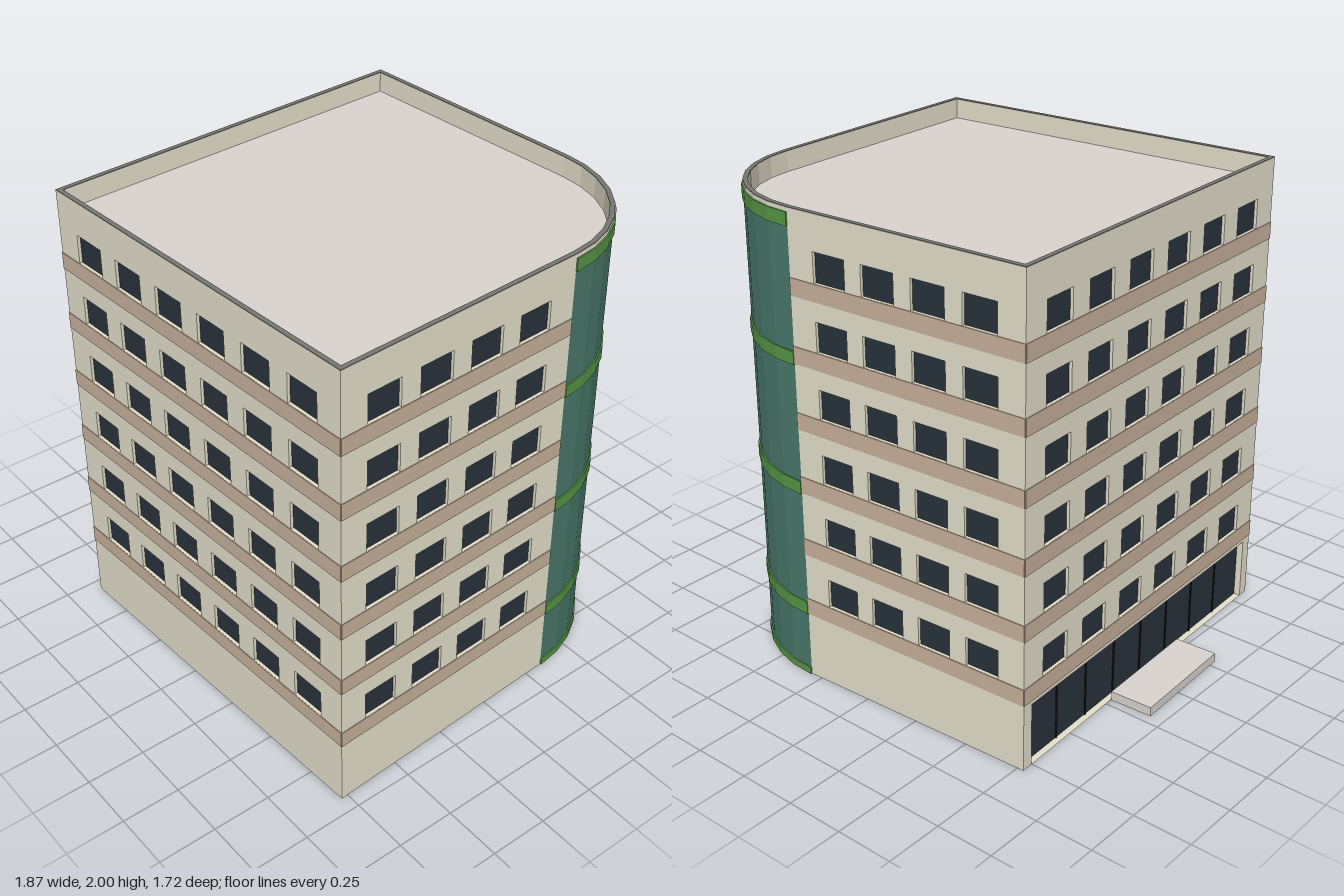
import * as THREE from 'three';

const mat = (name, color, side = THREE.FrontSide) => {
  const m = new THREE.MeshStandardMaterial({ color, side });
  m.name = name;
  return m;
};

export function createModel() {
  const M = {
    wall: mat('beige wall', 0xe4e0cc, THREE.DoubleSide),
    band: mat('tan band', 0xc8b19c),
    glass: mat('dark glass', 0x29323b, THREE.DoubleSide),
    mullion: mat('black mullion', 0x15191f),
    teal: mat('teal glazing', 0x4a7a6c),
    green: mat('green band', 0x589847),
    roof: mat('roof grey', 0xdad4d1),
    cap: mat('parapet cap grey', 0x787673),
  };
  const HU = 0.816, HV = 0.832; // half width and half depth of the plan
  const R = 0.547, T = 0.02;    // corner radius and parapet thickness
  const SKIN = 0.006;           // thickness of the curved glazing
  const H = 2, CAP = 0.004, ROOF = 1.912;
  const FLOORS = 6, PITCH = 0.2738, SILL = 0.36, BAND_Y = 0.288;
  const WIN_W = 0.153, WIN_H = 0.123;

  const building = new THREE.Group();
  building.name = 'building';

  const add = (parent, name, geometry, material, x = 0, y = 0, z = 0) => {
    const mesh = new THREE.Mesh(geometry, material);
    mesh.name = name;
    mesh.position.set(x, y, z);
    parent.add(mesh);
    return mesh;
  };
  const rect = (x, y, w, h) => [[x, y], [x + w, y], [x + w, y + h], [x, y + h]].map((p) => new THREE.Vector2(...p));

  // Plan helpers: shape y is -z, so the rounded corner lies at +x, +y
  const arc = (r, n = 8) => Array.from({ length: n + 1 }, (_, i) => {
    const a = (i / n) * Math.PI / 2;
    return new THREE.Vector2(HU - R + r * Math.cos(a), HV - R + r * Math.sin(a));
  });
  const plan = (inset) => [
    new THREE.Vector2(-HU + inset, HV - inset),
    new THREE.Vector2(-HU + inset, -HV + inset),
    new THREE.Vector2(HU - inset, -HV + inset),
    ...arc(R - inset),
  ];
  const slab = (shape, y0, y1) => new THREE.ExtrudeGeometry(shape, { depth: y1 - y0, bevelEnabled: false })
    .rotateX(-Math.PI / 2).translate(0, y0, 0);
  const curved = (rOut, rIn, y0, y1) => slab(new THREE.Shape([...arc(rOut), ...arc(rIn).reverse()]), y0, y1);
  const ring = (outer, inner, y0, y1) => {
    const shape = new THREE.Shape(plan(outer));
    shape.holes.push(new THREE.Path(plan(inner)));
    return slab(shape, y0, y1);
  };

  // Recessed pane: the four side faces of a box as reveals, with glass at the back
  function addRecess(parent, name, x, y, w, h, depth) {
    const reveal = new THREE.BoxGeometry(w, h, depth);
    reveal.setIndex([...reveal.index.array.slice(0, 24)]);
    reveal.clearGroups();
    add(parent, name + 'Reveal', reveal, M.wall, x + w / 2, y + h / 2, -depth / 2);
    add(parent, name + 'Glass', new THREE.PlaneGeometry(w, h), M.glass, x + w / 2, y + h / 2, -depth);
  }

  // Straight wall skins with recessed windows and a band under each row
  function makeWall(name, length, count, x, z, angle, entrance) {
    const g = new THREE.Group();
    g.name = name;
    g.position.set(x, 0, z);
    g.rotation.y = angle;
    building.add(g);

    const top = H - CAP, m = 0.05, doorH = 0.27;
    let outline = rect(0, 0, length, top);
    if (entrance) {
      outline = [[0, 0], [m, 0], [m, doorH], [length - m, doorH], [length - m, 0], [length, 0], [length, top], [0, top]]
        .map((p) => new THREE.Vector2(...p));
    }
    const shape = new THREE.Shape(outline);
    const first = 0.119, step = (length - 2 * first - WIN_W) / (count - 1);
    for (let f = 0; f < FLOORS; f++) {
      const y = SILL + f * PITCH;
      for (let i = 0; i < count; i++) {
        const wx = first + i * step;
        shape.holes.push(new THREE.Path(rect(wx, y, WIN_W, WIN_H)));
        addRecess(g, 'window', wx, y, WIN_W, WIN_H, 0.013);
      }
      add(g, 'floorBand', new THREE.BoxGeometry(length, 0.071, 0.003), M.band,
        length / 2, BAND_Y + 0.0355 + f * PITCH, 0.0015);
    }
    add(g, 'wallPanel', new THREE.ShapeGeometry(shape), M.wall);

    // Recessed ground floor glazing with mullions
    if (entrance) {
      const w = length - 2 * m, panes = 8, depth = 0.028;
      addRecess(g, 'entrance', m, 0, w, doorH, depth);
      for (let i = 1; i < panes; i++) {
        add(g, 'mullion', new THREE.BoxGeometry(0.008, doorH, 0.004), M.mullion, m + w * i / panes, doorH / 2, -depth + 0.0025);
      }
    }
  }
  makeWall('frontWall', 2 * HU, 6, -HU, HV, 0, false);
  makeWall('sideWall', 2 * HV - R, 4, HU, HV, Math.PI / 2, false);
  makeWall('backWall', 2 * HU - R, 4, HU - R, -HV, Math.PI, false);
  makeWall('entranceWall', 2 * HV, 6, -HU, -HV, -Math.PI / 2, true);

  // Rounded glazed corner with green rings
  add(building, 'curvedGlazing', curved(R, R - SKIN, 0, 1.98), M.teal);
  add(building, 'curvedParapetLip', curved(R, R - SKIN, 1.98, H - CAP), M.wall);
  for (const [y0, y1] of [[0, 0.03], [0.285, 0.34], [0.83, 0.885], [1.378, 1.432], [1.925, 1.98]]) {
    add(building, 'greenRing', curved(R + 0.006, R - 0.003, y0, y1), M.green);
  }

  // Sunken roof, inner parapet and cap
  add(building, 'roof', slab(new THREE.Shape(plan(0.003)), ROOF - 0.01, ROOF), M.roof);
  add(building, 'innerParapet', ring(SKIN, T, ROOF, H - CAP), M.wall);
  add(building, 'parapetCap', ring(0, T, H - CAP, H), M.cap);

  // Entrance platform
  add(building, 'entranceStep', new THREE.BoxGeometry(0.186, 0.04, 0.494), M.roof, -0.911, 0.02, 0.002);

  building.position.set(0.0775, 0, -0.0115);
  building.rotation.y = 0.049;
  const model = new THREE.Group();
  model.name = 'officeBlock';
  model.add(building);
  return model;
}
